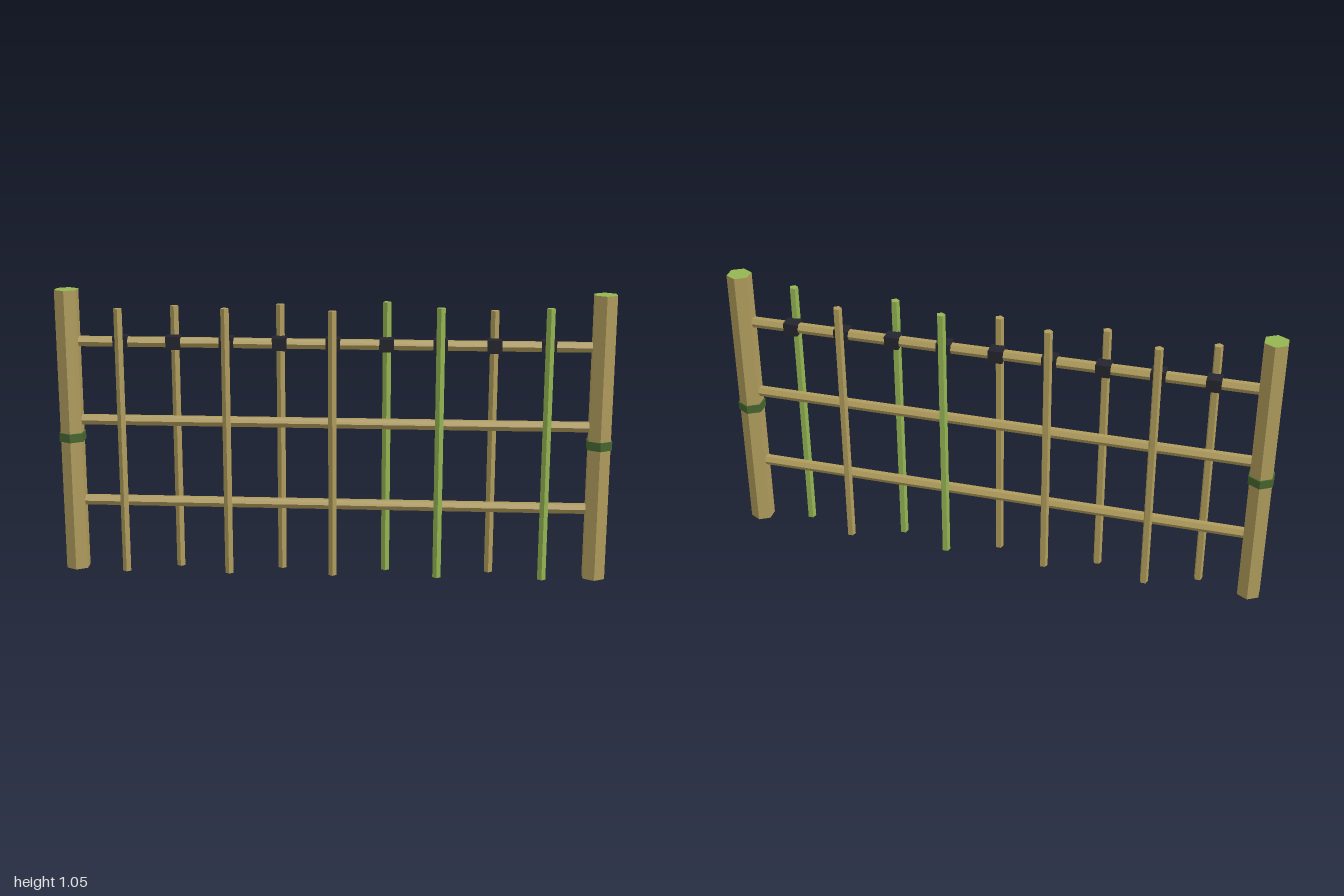
import * as THREE from 'three';

const mat = (name, color) => {
  const m = new THREE.MeshStandardMaterial({ color, flatShading: true });
  m.name = name;
  return m;
};

export function createModel() {
  const dry = mat('dry bamboo', 0xb09c5c);
  const green = mat('green bamboo', 0x94b552);
  const node = mat('dark green node', 0x46652f);
  const cord = mat('dark cord', 0x25252f);

  const fence = new THREE.Group();
  fence.name = 'bambooFence';

  const add = (name, geometry, material, x, y, z) => {
    const mesh = new THREE.Mesh(geometry, material);
    mesh.name = name;
    mesh.position.set(x, y, z);
    fence.add(mesh);
    return mesh;
  };

  // End posts with a fresh-cut top and a node ring
  const postX = 0.956, postHeight = 1.047;
  for (const side of [-1, 1]) {
    const label = side > 0 ? 'left' : 'right';
    add(label + 'Post', new THREE.CylinderGeometry(0.045, 0.045, postHeight, 6),
      [dry, green, dry], side * postX, postHeight / 2, 0);
    add(label + 'PostNode', new THREE.CylinderGeometry(0.0505, 0.0505, 0.032, 6),
      node, side * postX, 0.505, 0);
  }

  // Horizontal rails running between the posts
  const railHeights = [0.262, 0.568, 0.859];
  railHeights.forEach((y, i) => {
    add('rail' + (i + 1), new THREE.CylinderGeometry(0.02, 0.02, 2 * postX - 0.06, 6),
      dry, 0, y, 0).rotation.z = Math.PI / 2;
  });

  // Upright canes, alternately in front of and behind the rails, tied to the top rail
  const caneHeights = [0.985, 0.985, 0.99, 0.995, 0.985, 1.007, 1.0, 0.98, 1.002];
  const greenCanes = [5, 6, 8];
  caneHeights.forEach((h, i) => {
    const x = (i - 4) * 0.1912;
    const z = i % 2 === 0 ? 0.036 : -0.036;
    add('cane' + (i + 1), new THREE.CylinderGeometry(0.016, 0.016, h, 5),
      greenCanes.includes(i) ? green : dry, x, h / 2, z);
    add('lashing' + (i + 1), new THREE.BoxGeometry(0.052, 0.046, 0.052), cord, x, railHeights[2], 0);
  });

  return fence;
}
